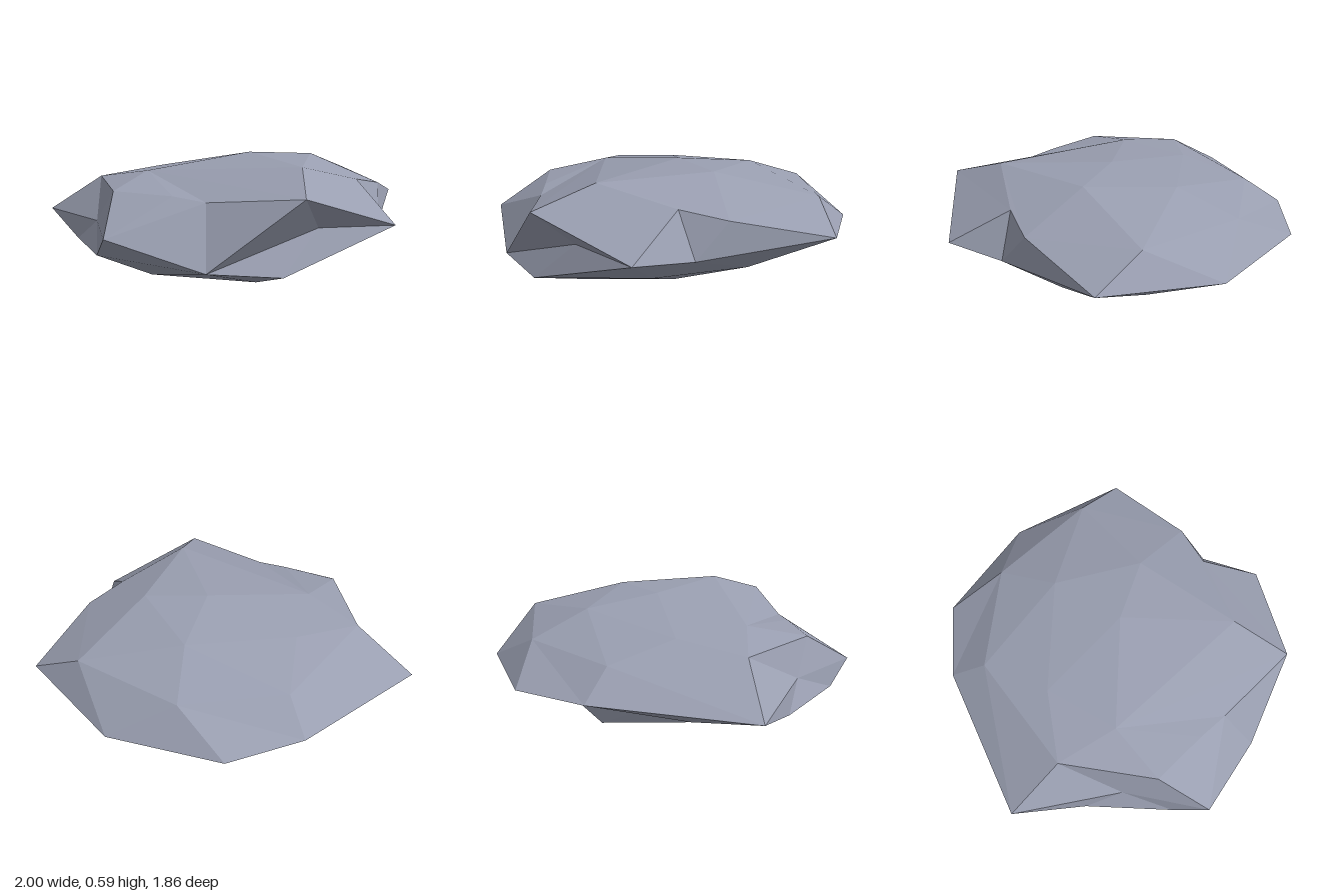
import * as THREE from 'three';

// Cross-section loops from crown to base; each point is [x, y, z],
// ordered from the front round by the model's left.
const crown = [[0.1, 0.59, 0.03]];
const upper = [[0.27, 0.56, 0.61], [0.44, 0.58, 0.04], [0.2, 0.55, -0.37], [-0.37, 0.5, -0.22], [-0.46, 0.51, 0.18]];
const shoulder = [[0.22, 0.45, 0.93], [0.61, 0.47, 0.36], [0.78, 0.43, 0.19], [0.74, 0.46, -0.39], [0.22, 0.44, -0.7],
  [-0.32, 0.43, -0.6], [-0.71, 0.46, -0.05], [-0.63, 0.44, 0.46], [-0.35, 0.43, 0.61], [-0.2, 0.41, 0.7]];
const frontLip = [-0.22, 0.12, 0.9]; // shared by two loops, forms the front notch
const girdle = [[0.32, 0.29, 0.75], [0.72, 0.28, 0.67], [0.74, 0.25, 0.35], [1, 0.33, -0.27], [0.57, 0.27, -0.74],
  [-0.01, 0.29, -0.93], [-0.39, 0.3, -0.78], [-1, 0.26, -0.22], [-0.72, 0.27, 0.3], [-0.67, 0.26, 0.76], frontLip];
// The back of this loop sits under the rear overhang
const lower = [[0.13, 0.09, 0.89], [0.54, 0.13, 0.46], [0.72, 0.16, 0.03], [0.63, 0.16, -0.37], [0.41, 0.165, -0.54],
  [-0.42, 0.205, -0.44], [-0.7, 0.22, -0.4], [-0.83, 0.15, 0.13], [-0.71, 0.15, 0.58], frontLip];
const foot = [[0.05, 0, 0.6], [0.31, 0, 0.2], [0.35, 0, -0.18], [-0.08, 0.01, -0.48],
  [-0.54, 0.035, 0.1], [-0.45, 0.03, 0.5]];
const base = [[0, 0, 0.05]];

// Angle of the k-th point of a loop, counting on past a full turn
function angle(loop, k) {
  const [x, , z] = loop[k % loop.length];
  const a = Math.atan2(x, z);
  return (a < 0 ? a + 2 * Math.PI : a) + (k >= loop.length ? 2 * Math.PI : 0);
}

// Fill the band between two loops, always advancing the one that lags behind
function stitch(top, bottom, out) {
  const nTop = top.length > 1 ? top.length : 0;
  const nBottom = bottom.length > 1 ? bottom.length : 0;
  let i = 0, j = 0;
  while (i < nTop || j < nBottom) {
    const a = top[i % top.length], b = bottom[j % bottom.length];
    const useTop = j >= nBottom || (i < nTop && angle(top, i + 1) < angle(bottom, j + 1));
    const c = useTop ? top[++i % top.length] : bottom[++j % bottom.length];
    if (a !== b && b !== c && a !== c) out.push(...a, ...b, ...c);
  }
}

export function createModel() {
  const loops = [crown, upper, shoulder, girdle, lower, foot, base];
  const positions = [];
  for (let k = 0; k + 1 < loops.length; k++) stitch(loops[k], loops[k + 1], positions);

  const geometry = new THREE.BufferGeometry();
  geometry.setAttribute('position', new THREE.Float32BufferAttribute(positions, 3));
  geometry.computeVertexNormals();

  const rock = new THREE.Mesh(geometry, new THREE.MeshStandardMaterial({ color: 0x999eb0, flatShading: true }));
  rock.name = 'rock';
  const group = new THREE.Group();
  group.name = 'boulder';
  group.add(rock);
  return group;
}
